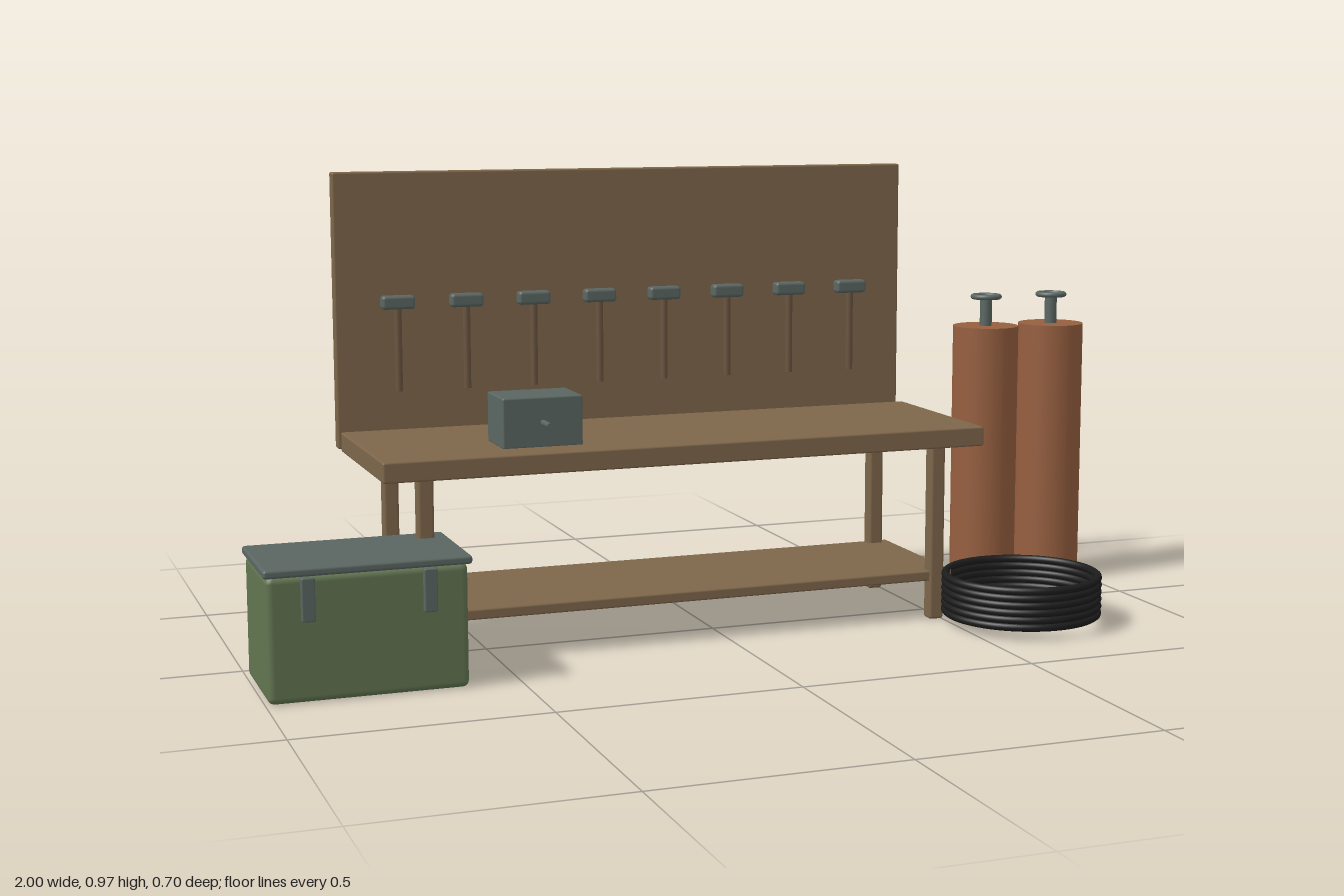
import * as THREE from 'three';
import { RoundedBoxGeometry } from 'three/addons/geometries/RoundedBoxGeometry.js';

const paint = (color) => new THREE.MeshStandardMaterial({ color });

export function createModel() {
  const model = new THREE.Group();
  const wood = paint(0x7d664a);
  const handleWood = paint(0x6b5540);
  const steel = paint(0x5a6662);
  const green = paint(0x627551);
  const copper = paint(0x965f3f);
  const rubber = paint(0x1c1c1c);

  const add = (parent, name, geometry, material, x = 0, y = 0, z = 0) => {
    const mesh = new THREE.Mesh(geometry, material);
    mesh.name = name;
    mesh.position.set(x, y, z);
    parent.add(mesh);
    return mesh;
  };
  // Box given by its extents on each axis, with softened edges
  const box = (parent, name, material, [x0, x1], [y0, y1], [z0, z1], r = 0.004) =>
    add(parent, name, new RoundedBoxGeometry(x1 - x0, y1 - y0, z1 - z0, 2, r), material,
      (x0 + x1) / 2, (y0 + y1) / 2, (z0 + z1) / 2);
  const group = (name, x = 0, y = 0, z = 0) => {
    const g = new THREE.Group();
    g.name = name;
    g.position.set(x, y, z);
    model.add(g);
    return g;
  };

  // Workbench: top, lower shelf, four legs
  const bench = group('workbench');
  box(bench, 'benchTop', wood, [-0.735, 0.58], [0.385, 0.427], [-0.29, 0.123]);
  box(bench, 'lowerShelf', wood, [-0.68, 0.525], [0.088, 0.11], [-0.254, 0.088]);
  for (const x of [-0.643, 0.487]) {
    for (const z of [-0.241, 0.077]) {
      box(bench, 'benchLeg', wood, [x - 0.0165, x + 0.0165], [0.003, 0.39], [z - 0.0165, z + 0.0165], 0.006);
    }
  }

  // Tool board with a row of hammers
  const board = group('toolBoard');
  box(board, 'backBoard', wood, [-0.735, 0.58], [0.385, 0.975], [-0.352, -0.322]);
  for (let i = 0; i < 8; i++) {
    const hammer = new THREE.Group();
    hammer.name = 'hammer';
    hammer.position.x = -0.604 + i * 0.1504;
    board.add(hammer);
    box(hammer, 'hammerHead', steel, [-0.036, 0.036], [0.684, 0.713], [-0.317, -0.287], 0.007);
    add(hammer, 'hammerHandle', new THREE.CylinderGeometry(0.008, 0.008, 0.18, 12), handleWood, 0, 0.597, -0.302);
  }

  // Vise on the bench with its screw bar
  const vise = group('vise');
  box(vise, 'viseBody', steel, [-0.47, -0.3], [0.425, 0.53], [-0.077, 0.043]);
  const bar = add(vise, 'viseBar', new THREE.CylinderGeometry(0.006, 0.006, 0.1, 12), steel, -0.385, 0.477, 0.043);
  bar.rotation.x = Math.PI / 2;

  // Storage chest: body, lid, two latches
  const chest = group('chest');
  box(chest, 'chestBody', green, [-0.995, -0.605], [0.003, 0.25], [0.038, 0.277], 0.014);
  box(chest, 'chestLid', steel, [-1, -0.598], [0.248, 0.265], [0.033, 0.283], 0.006);
  for (const x of [-0.917, -0.682]) {
    box(chest, 'chestLatch', steel, [x - 0.013, x + 0.013], [0.162, 0.247], [0.274, 0.29], 0.003);
  }

  // Pair of gas cylinders with valve and hand wheel
  for (const x of [0.755, 0.924]) {
    const tank = group('gasCylinder', x, 0, -0.215);
    add(tank, 'tankBody', new THREE.CylinderGeometry(0.075, 0.075, 0.577, 40), copper, 0, 0.3165, 0);
    add(tank, 'valveStem', new THREE.CylinderGeometry(0.014, 0.014, 0.07, 20), steel, 0, 0.638, 0);
    const wheel = add(tank, 'handWheel', new THREE.TorusGeometry(0.03, 0.006, 10, 32), steel, 0, 0.672, 0);
    wheel.rotation.x = Math.PI / 2;
  }

  // Coiled hose as stacked rings
  const hose = group('hoseCoil', 0.647, 0, 0.179);
  for (let i = 0; i < 6; i++) {
    const loop = add(hose, 'hoseLoop', new THREE.TorusGeometry(0.164, 0.0085, 10, 64), rubber, 0, 0.03 + i * 0.0155, 0);
    loop.rotation.x = Math.PI / 2;
  }

  return model;
}
